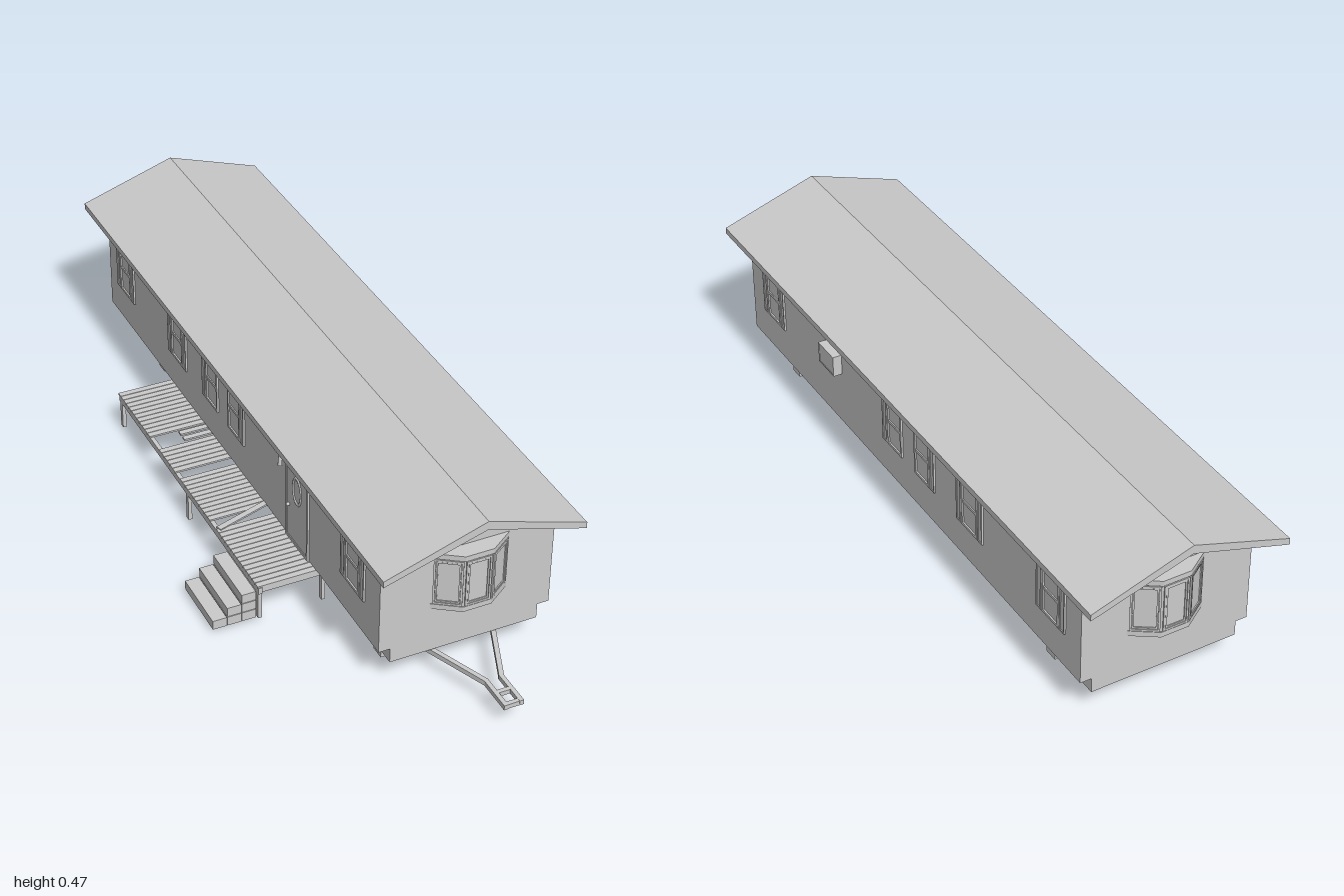
import * as THREE from 'three';

const mat = new THREE.MeshStandardMaterial({ color: 0xcccccc });
const CX = 0.116; // centre line of the house

function add(parent, name, geo) {
  const m = new THREE.Mesh(geo, mat);
  m.name = name;
  parent.add(m);
  return m;
}

function group(parent, name) {
  const g = new THREE.Group();
  g.name = name;
  parent.add(g);
  return g;
}

// Box given by its extents
function box(parent, name, x0, x1, y0, y1, z0, z1) {
  const m = add(parent, name, new THREE.BoxGeometry(x1 - x0, y1 - y0, z1 - z0));
  m.position.set((x0 + x1) / 2, (y0 + y1) / 2, (z0 + z1) / 2);
  return m;
}

// Horizontal beam between two points [x, z]
function beam(parent, name, a, b, y, w, h) {
  const dx = b[0] - a[0], dz = b[1] - a[1];
  const m = add(parent, name, new THREE.BoxGeometry(w, h, Math.hypot(dx, dz)));
  m.position.set((a[0] + b[0]) / 2, y, (a[1] + b[1]) / 2);
  m.rotation.y = Math.atan2(dx, dz);
  return m;
}

// Prism along z from a list of [x, y] points
function prism(points, z0, z1) {
  const s = new THREE.Shape(points.map(p => new THREE.Vector2(p[0], p[1])));
  return new THREE.ExtrudeGeometry(s, { depth: z1 - z0, bevelEnabled: false }).translate(0, 0, z0);
}

// Rectangular frame centred on the origin, facing +z
function frameGeo(w, h, t, depth) {
  const rect = (C, a, b) => new C([[-a, -b], [a, -b], [a, b], [-a, b]].map(p => new THREE.Vector2(...p)));
  const s = rect(THREE.Shape, w / 2, h / 2);
  s.holes.push(rect(THREE.Path, w / 2 - t, h / 2 - t));
  return new THREE.ExtrudeGeometry(s, { depth, bevelEnabled: false });
}

// Sash window with a shutter on each chosen side, facing +z
function sashWindow(parent, shutters) {
  const g = group(parent, 'window');
  add(g, 'windowFrame', frameGeo(0.075, 0.14, 0.007, 0.005));
  box(g, 'windowPane', -0.034, 0.034, -0.066, 0.066, 0, 0.001);
  box(g, 'meetingRail', -0.032, 0.032, -0.004, 0.004, 0, 0.004);
  for (const s of shutters) {
    const sh = group(g, 'shutter');
    sh.position.x = s * 0.05;
    box(sh, 'shutterPanel', -0.011, 0.011, -0.07, 0.07, 0, 0.003);
    add(sh, 'shutterFrame', frameGeo(0.022, 0.14, 0.004, 0.005));
  }
  return g;
}

// Three-sided bay window facing +z
function bayWindow(parent) {
  const g = group(parent, 'bayWindow');
  const plan = [[-0.098, 0], [-0.036, 0.042], [0.036, 0.042], [0.098, 0]];
  const slab = (name, y0, y1, k) => {
    const geo = prism(plan.map(p => [p[0] * k, -p[1] * k]).reverse(), y0, y1);
    add(g, name, geo.rotateX(-Math.PI / 2));
  };
  slab('bayCore', 0.198, 0.354, 0.97);
  slab('baySill', 0.196, 0.21, 1.02);
  slab('bayHead', 0.342, 0.356, 1.02);
  for (let i = 0; i < 3; i++) {
    const [a, b] = [plan[i], plan[i + 1]];
    const w = Math.hypot(b[0] - a[0], b[1] - a[1]);
    const f = group(g, 'bayPanel');
    f.position.set((a[0] + b[0]) / 2, 0.276, (a[1] + b[1]) / 2);
    f.rotation.y = Math.atan2(a[1] - b[1], b[0] - a[0]);
    add(f, 'bayFrame', frameGeo(w - 0.006, 0.128, 0.005, 0.004)).position.z = -0.002;
    add(f, 'baySash', frameGeo(w - 0.018, 0.116, 0.004, 0.003)).position.z = -0.002;
  }
  return g;
}

function buildHouse(root) {
  const house = group(root, 'house');
  add(house, 'walls', prism([[-0.108, 0.11], [0.34, 0.11], [0.34, 0.381], [CX, 0.45], [-0.108, 0.381]], -0.91, 0.76));
  add(house, 'roof', prism([[-0.143, 0.37], [CX, 0.449], [0.375, 0.37], [0.375, 0.387], [CX, 0.472], [-0.143, 0.387]], -1, 0.84));

  // Skirt around the open underside
  for (const x of [-0.078, 0.296]) box(house, 'sideSill', x, x + 0.014, 0.07, 0.11, -0.91, 0.76);
  for (const z of [-0.91, 0.746]) box(house, 'endSill', -0.07, 0.302, 0.07, 0.11, z, z + 0.014);

  // Side windows, the same on both walls
  const windows = [[0.625, 1, 1], [-0.05, 1, 0], [-0.19, 0, 1], [-0.42, 1, 1], [-0.785, 1, 1]];
  for (const s of [1, -1]) {
    for (const [z, front, back] of windows) {
      const shutters = [];
      if (front) shutters.push(-s);
      if (back) shutters.push(s);
      const w = sashWindow(house, shutters);
      w.position.set(s > 0 ? 0.34 : -0.108, 0.275, z);
      w.rotation.y = s * Math.PI / 2;
    }
  }
  bayWindow(house).position.set(0.121, 0, 0.76);
  const rear = bayWindow(house);
  rear.position.set(0.121, 0, -0.91);
  rear.rotation.y = Math.PI;

  // Air conditioner
  const ac = group(house, 'airConditioner');
  box(ac, 'airConditionerBox', 0.34, 0.363, 0.261, 0.318, 0.236, 0.318);
  const grille = add(ac, 'airConditionerRim', frameGeo(0.082, 0.057, 0.004, 0.002));
  grille.position.set(0.362, 0.2895, 0.277);
  grille.rotation.y = Math.PI / 2;

  // Door with oval light, and a lamp beside it
  const door = group(house, 'door');
  door.position.set(-0.108, 0.231, 0.325);
  door.rotation.y = -Math.PI / 2;
  add(door, 'doorFrame', frameGeo(0.125, 0.244, 0.008, 0.005));
  box(door, 'doorLeaf', -0.054, 0.054, -0.12, 0.114, 0, 0.003);
  const oval = add(door, 'doorLight', new THREE.TorusGeometry(0.022, 0.003, 8, 28));
  oval.scale.y = 1.7;
  oval.position.set(0, 0.045, 0.003);
  add(door, 'doorKnob', new THREE.SphereGeometry(0.005, 12, 8)).position.set(-0.044, -0.02, 0.007);
  const lamp = group(house, 'porchLamp');
  box(lamp, 'lampBracket', -0.116, -0.108, 0.322, 0.33, 0.238, 0.246);
  add(lamp, 'lampShade', new THREE.CylinderGeometry(0.004, 0.006, 0.028, 8)).position.set(-0.118, 0.317, 0.242);
}

function buildChassis(root) {
  const ch = group(root, 'chassis');
  // Ladder frame and tow bar
  for (const s of [-1, 1]) {
    const x = d => CX + s * d;
    beam(ch, 'frameRail', [x(0.095), 0.51], [x(0.095), 0.725], 0.059, 0.01, 0.022);
    beam(ch, 'towArm', [x(0.096), 0.72], [x(0.02), 0.905], 0.061, 0.012, 0.013);
    beam(ch, 'towRail', [x(0.02), 0.9], [x(0.02), 1], 0.061, 0.011, 0.013);
  }
  for (const z of [0.515, 0.62, 0.72]) beam(ch, 'frameCrossbar', [0.016, z], [0.216, z], 0.059, 0.01, 0.02);
  for (const z of [0.95, 0.994]) beam(ch, 'towCrossbar', [CX - 0.02, z], [CX + 0.02, z], 0.061, 0.011, 0.012);
  // Recessed cross bracing and joists
  for (const [z0, z1] of [[0, 0.5], [-0.87, -0.43]]) {
    beam(ch, 'brace', [-0.062, z0], [0.294, z1], 0.09, 0.018, 0.016);
    beam(ch, 'brace', [-0.062, z1], [0.294, z0], 0.09, 0.018, 0.015);
    for (const z of [z0, z1]) beam(ch, 'joist', [-0.066, z], [0.298, z], 0.09, 0.014, 0.036);
  }
  // Corner jacks with tapered heads
  for (const x of [-0.03, 0.261]) for (const z of [0.645, -0.69]) {
    const p = [[-0.021, 0], [0.021, 0], [0.021, 0.044], [0.012, 0.068], [0.012, 0.11], [-0.012, 0.11], [-0.012, 0.068], [-0.021, 0.044]];
    add(ch, 'cornerJack', prism(p, -0.019, 0.019)).position.set(x, 0, z);
  }
  // Three axles with a pair of wheels each
  const profile = [[0.026, -0.019], [0.043, -0.025], [0.05, -0.02], [0.053, -0.01], [0.053, 0.01], [0.05, 0.02], [0.043, 0.025], [0.026, 0.019], [0.026, -0.019]];
  const tyre = new THREE.LatheGeometry(profile.map(p => new THREE.Vector2(...p)), 28).rotateZ(Math.PI / 2);
  for (const z of [-0.13, -0.245, -0.36]) {
    add(ch, 'axle', new THREE.CylinderGeometry(0.006, 0.006, 0.29, 10).rotateZ(Math.PI / 2)).position.set(CX, 0.076, z);
    for (const x of [-0.03, 0.262]) {
      const wheel = group(ch, 'wheel');
      wheel.position.set(x, 0.076, z);
      add(wheel, 'tyre', tyre);
      add(wheel, 'rim', new THREE.CylinderGeometry(0.027, 0.027, 0.026, 24).rotateZ(Math.PI / 2));
      add(wheel, 'hub', new THREE.CylinderGeometry(0.01, 0.01, 0.04, 12).rotateZ(Math.PI / 2));
    }
  }
}

function buildPorch(root) {
  const porch = group(root, 'porch');
  // Posts, rails and bearers
  for (const x of [-0.26, -0.092]) {
    box(porch, 'deckRail', x, x + 0.011, 0.087, 0.105, -0.472, 0.428);
    for (const z of [-0.468, -0.018, 0.41]) box(porch, 'post', x + 0.0005, x + 0.0105, 0.011, 0.1, z, z + 0.014);
  }
  for (const z of [-0.47, -0.018, 0.41]) box(porch, 'bearer', -0.25, -0.09, 0.088, 0.104, z, z + 0.014);
  // Planks in runs, with missing boards between
  for (const [z0, z1, n] of [[-0.475, -0.252, 12], [-0.192, -0.082, 6], [-0.052, 0.14, 11], [0.178, 0.428, 14]]) {
    const step = (z1 - z0) / n;
    for (let i = 0; i < n; i++) box(porch, 'plank', -0.261, -0.078, 0.104, 0.109, z0 + i * step, z0 + (i + 0.9) * step);
  }
  // Broken and loose boards
  for (const z of [-0.238, -0.212]) box(porch, 'brokenPlank', -0.184, -0.078, 0.104, 0.109, z - 0.008, z + 0.008);
  beam(porch, 'loosePlank', [-0.255, 0.18], [-0.085, 0.125], 0.1095, 0.016, 0.005);

  // Steps: stacked blocks, one fewer column on each level
  const steps = group(root, 'steps');
  for (let row = 0; row < 3; row++) for (let col = row; col < 3; col++) {
    const x = -0.376 + col * 0.038, y = 0.013 + row * 0.027;
    box(steps, 'stepBlock', x, x + 0.0365, y, y + 0.025, 0.25, 0.42);
  }
}

export function createModel() {
  const root = new THREE.Group();
  root.name = 'mobileHome';
  buildHouse(root);
  buildChassis(root);
  buildPorch(root);
  return root;
}
